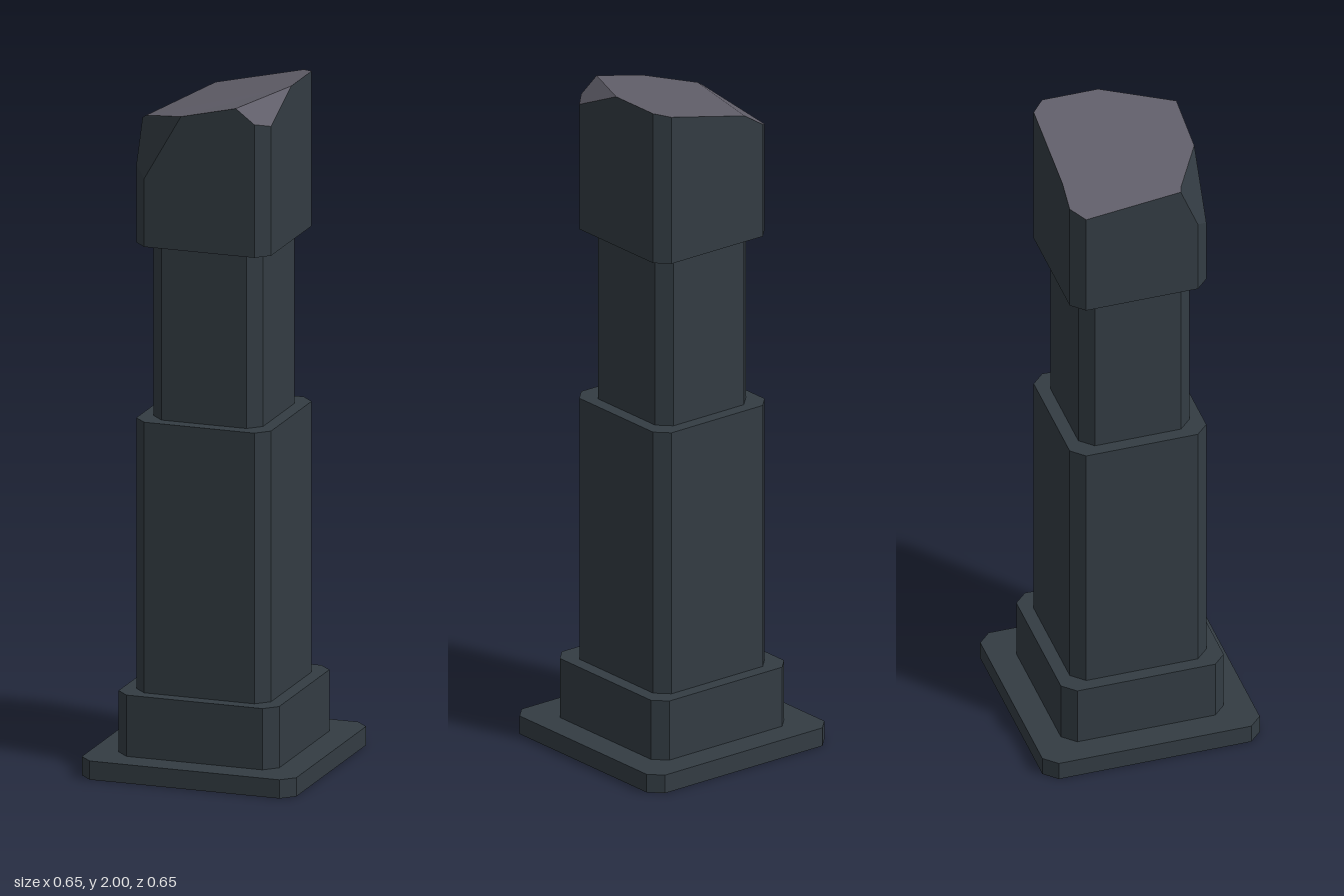
import * as THREE from 'three';

const CHAMFER = 0.037;

// Square ring with cut corners, ordered from +x towards +z
function ring(half, y) {
  const c = half - CHAMFER;
  return [[half, c], [c, half], [-c, half], [-half, c], [-half, -c], [-c, -half], [c, -half], [half, -c]]
    .map(([x, z]) => [x, y, z]);
}

// Triangles joining two rings of equal length
function strip(lower, upper) {
  const out = [];
  lower.forEach((a, i) => {
    const j = (i + 1) % lower.length;
    out.push(a, upper[i], upper[j], a, upper[j], lower[j]);
  });
  return out;
}

// Upward-facing fan over a convex outline
function fan(pts) {
  const out = [];
  for (let i = 1; i < pts.length - 1; i++) out.push(pts[0], pts[i + 1], pts[i]);
  return out;
}

function mesh(name, triangles, material) {
  const geo = new THREE.BufferGeometry();
  geo.setAttribute('position', new THREE.Float32BufferAttribute(triangles.flat(), 3));
  geo.computeVertexNormals();
  const m = new THREE.Mesh(geo, material);
  m.name = name;
  return m;
}

export function createModel() {
  const stone = new THREE.MeshStandardMaterial({ color: 0x333c43, flatShading: true, side: THREE.DoubleSide });
  stone.name = 'slate stone';
  const broken = new THREE.MeshStandardMaterial({ color: 0x605e69, flatShading: true, side: THREE.DoubleSide });
  broken.name = 'broken stone';

  const group = new THREE.Group();
  group.name = 'brokenPillar';

  // Hollow tiers, open below: name, half width, bottom, top, half width of the tier above
  const tiers = [
    ['baseSlab', 0.323, 0, 0.055, 0.242],
    ['plinth', 0.242, 0.055, 0.235, 0.203],
    ['shaft', 0.203, 0.235, 1.03, 0.165],
    ['neck', 0.165, 1.03, 1.545, 0.203],
  ];
  for (const [name, half, y0, y1, next] of tiers) {
    const top = ring(half, y1);
    group.add(mesh(name, [...strip(ring(half, y0), top), ...strip(top, ring(next, y1))], stone));
  }

  // Broken top: the lowest of four slanted planes
  const height = (x, z) => Math.min(
    2 + 0.235 * (x - 0.203),
    1.929 + 0.65 * (x + 0.1) + 0.116 * (z + 0.203),
    2 - 0.75 * (x - 0.203) - 0.452 * z,
    1.9 + 1.74 * (x + 0.203) - 2.49 * (z - 0.115),
  );
  const at = (x, z) => [x, height(x, z), z];

  // Corners of the head and the points where the breaks meet its edge
  const [c1, c2, c3, c4, c5, c6, c7, c8] = ring(0.203, 0).map(([x, , z]) => at(x, z));
  const rightEdge = at(0.203, 0);
  const frontRight = at(0.11, 0.203);
  const frontLeft = at(-0.055, 0.203);
  const leftEdge = at(-0.203, 0.115);
  const inner = at(-0.19, 0.12);
  const backEdge = at(-0.1, -0.203);

  // Head walls
  const rim = [rightEdge, c1, c2, frontRight, frontLeft, c3, c4, leftEdge, c5, c6, backEdge, c7, c8];
  group.add(mesh('head', strip(rim.map(([x, , z]) => [x, 1.545, z]), rim), stone));

  // Break faces
  group.add(mesh('brokenTop', [
    ...fan([rightEdge, frontRight, frontLeft, inner, backEdge, c7, c8]),
    ...fan([inner, leftEdge, c5, c6, backEdge]),
  ], broken));
  group.add(mesh('rightCornerBreak', fan([rightEdge, c1, c2, frontRight]), broken));
  group.add(mesh('leftCornerCut', fan([frontLeft, c3, c4, leftEdge, inner]), stone));

  return group;
}
